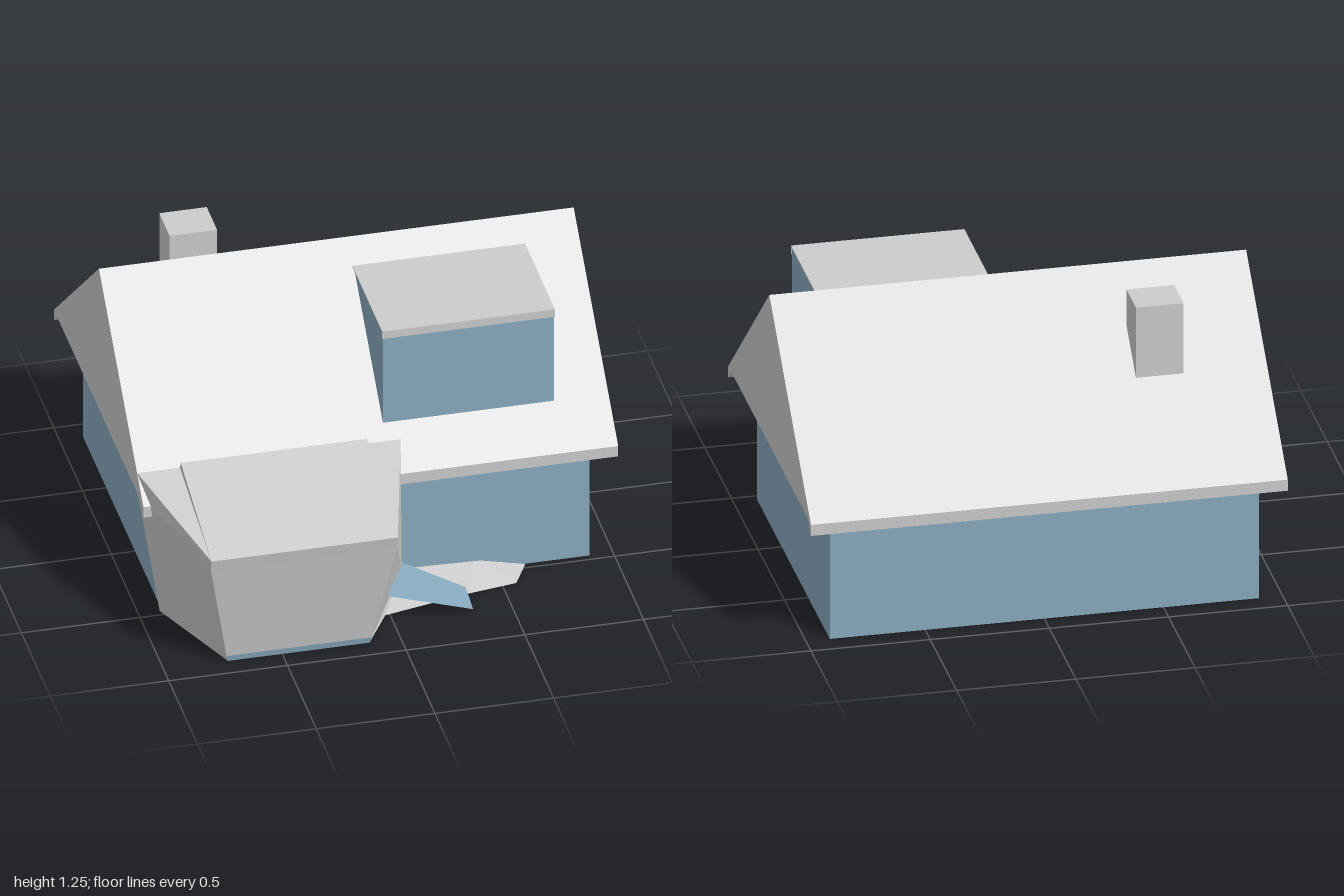
import * as THREE from 'three';

const grey = new THREE.MeshStandardMaterial({ color: 0xcccccc, side: THREE.DoubleSide });
grey.name = 'pale grey';
const blue = new THREE.MeshStandardMaterial({ color: 0x88aabf, side: THREE.DoubleSide });
blue.name = 'wall blue';

export function createModel() {
  const house = new THREE.Group();
  house.name = 'house';

  const add = (name, geometry, material) => {
    const mesh = new THREE.Mesh(geometry, material);
    mesh.name = name;
    house.add(mesh);
    return mesh;
  };

  // Box given by its lower and upper corners
  const box = (name, [x0, y0, z0], [x1, y1, z1], material) =>
    add(name, new THREE.BoxGeometry(x1 - x0, y1 - y0, z1 - z0)
      .translate((x0 + x1) / 2, (y0 + y1) / 2, (z0 + z1) / 2), material);

  // Side profile of [z, y] points, swept from x0 to x1
  const prism = (name, profile, x0, x1, material) => {
    const shape = new THREE.Shape(profile.map(([z, y]) => new THREE.Vector2(-z, y)));
    const geometry = new THREE.ExtrudeGeometry(shape, { depth: x1 - x0, bevelEnabled: false });
    return add(name, geometry.rotateY(Math.PI / 2).translate(x0, 0, 0), material);
  };

  // Flat-shaded facets, each a fan around its first corner
  const facets = (name, polygons, material) => {
    const points = [];
    for (const p of polygons) {
      for (let i = 1; i < p.length - 1; i++) points.push(...p[0], ...p[i], ...p[i + 1]);
    }
    const geometry = new THREE.BufferGeometry();
    geometry.setAttribute('position', new THREE.Float32BufferAttribute(points, 3));
    geometry.computeVertexNormals();
    return add(name, geometry, material);
  };

  // Main walls with a grey floor
  box('walls', [-0.9, 0, -0.905], [0.9, 0.575, 0.47], [blue, blue, blue, grey, blue, blue]);

  // Gabled roof with drooping eaves
  prism('mainRoof', [
    [0.56, 0.57], [0.56, 0.52], [0.5, 0.572], [-0.94, 0.572],
    [-1, 0.52], [-1, 0.57], [-0.215, 1.25],
  ], -1, 1, grey);

  // Chimney
  box('chimney', [-0.65, 0.85, -0.61], [-0.45, 1.225, -0.43], grey);

  // Dormer
  prism('dormerWalls', [[0.39, 0.71], [0.39, 1.16], [-0.11, 1.16]], 0.05, 0.77, blue);
  box('dormerRoof', [0.045, 1.16, -0.125], [0.772, 1.167, 0.4], grey);
  box('dormerFascia', [0.045, 1.13, 0.39], [0.772, 1.165, 0.398], grey);

  // Flared bay: corner points shared by its walls and roof
  const footL = [-0.73, 0, 0.905], footR = [-0.13, 0, 0.905];
  const sillL = [-0.82, 0.5, 0.99], sillR = [-0.035, 0.5, 0.99];
  const eaveL = [-0.82, 0.55, 1], eaveR = [-0.035, 0.55, 1];
  const backFootL = [-0.91, 0, 0.47], backSillL = [-1, 0.57, 0.47], backTopL = [-1, 0.668, 0.45];
  const midFootR = [-0.02, 0, 0.72], backFootR = [0.11, 0.055, 0.47], backTopR = [0.11, 0.668, 0.45];
  const innerL = [-0.82, 0.668, 0.45], innerR = [-0.035, 0.668, 0.45];
  const ridgeL = [-0.82, 0.7, 0.465], ridgeR = [-0.035, 0.7, 0.465];

  facets('bayWalls', [
    [footL, footR, sillR, sillL],
    [sillL, eaveL, eaveR, sillR].reverse(),
    [backFootL, footL, sillL, backSillL],
    [backSillL, sillL, eaveL, backTopL],
    [backFootR, eaveR, sillR, footR, midFootR],
    [backFootR, backTopR, eaveR],
    [backFootL, backSillL, [-0.9, 0.57, 0.47], [-0.9, 0, 0.47]],
  ], grey);
  facets('bayRoof', [
    [eaveL, eaveR, ridgeR, ridgeL],
    [eaveL, innerL, backTopL],
    [eaveR, backTopR, innerR],
    [eaveL, ridgeL, innerL],
    [eaveR, innerR, ridgeR],
    [ridgeL, ridgeR, innerR, innerL],
  ], grey);
  facets('bayFloor', [[footL, backFootL, [0.11, 0, 0.47], midFootR, footR]], grey);

  // Thin blue strip along the foot of the bay
  facets('bayBaseStrip', [
    [[-0.73, 0, 0.909], [-0.13, 0, 0.909], [-0.125, 0.028, 0.914], [-0.735, 0.028, 0.914]],
  ], blue);

  // Low sloping bank beside the bay
  const bankTop = [0.44, 0.045, 0.472], bankStart = [0.11, 0.055, 0.472];
  facets('groundBank', [
    [bankStart, midFootR, [0.34, 0, 0.64], bankTop],
    [bankTop, [0.34, 0, 0.64], [0.56, 0, 0.605], [0.63, 0, 0.472]],
  ], grey);

  // Tilted blue panel
  facets('tiltedPanel', [
    [[-0.02, 0.12, 0.765], [0.335, 0.015, 0.782], [0.345, 0.015, 0.61], [0.11, 0.085, 0.472]],
  ], blue);

  return house;
}
